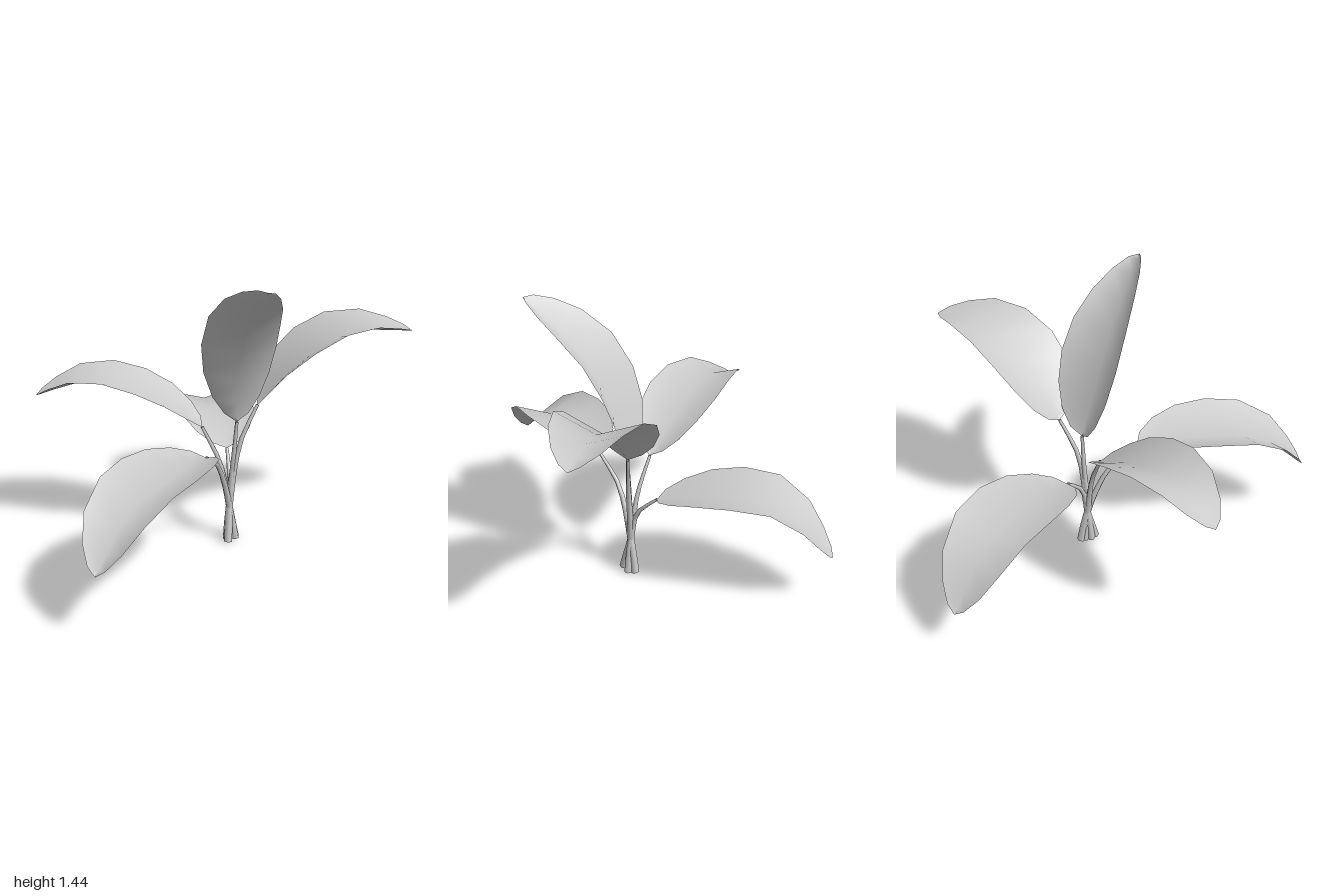
import * as THREE from 'three';

const material = new THREE.MeshStandardMaterial({ color: 0xcccccc, side: THREE.DoubleSide });
const curveThrough = points => new THREE.CatmullRomCurve3(points.map(p => new THREE.Vector3(...p)));

// Leaf blade folded into a shallow V along its midrib
function blade({ rib, width, fold, up = [0, 1, 0] }) {
  const curve = curveThrough(rib);
  const upHint = new THREE.Vector3(...up);
  const steps = 9, positions = [], index = [];
  for (let i = 0; i <= steps; i++) {
    // Stations crowd towards both ends, where the outline curves most
    const t = (1 - Math.cos(Math.PI * i / steps)) / 2;
    const half = width * Math.sin(Math.PI * t ** 0.85) ** 0.6;
    const mid = curve.getPointAt(t);
    const tangent = curve.getTangentAt(t);
    const side = tangent.clone().cross(upHint).normalize();
    const normal = side.clone().cross(tangent);
    for (const s of [-1, 0, 1]) {
      const p = mid.clone()
        .addScaledVector(side, s * half)
        .addScaledVector(normal, Math.abs(s) * half * fold);
      positions.push(p.x, p.y, p.z);
    }
    if (i === 0) continue;
    for (let c = 0; c < 2; c++) {
      const a = (i - 1) * 3 + c, b = i * 3 + c;
      index.push(a, a + 1, b, a + 1, b + 1, b);
    }
  }
  const geo = new THREE.BufferGeometry();
  geo.setAttribute('position', new THREE.Float32BufferAttribute(positions, 3));
  geo.setIndex(index);
  geo.computeVertexNormals();
  return geo;
}

// Stalk: six-sided tube, thick at the foot and thin at the blade
function stalk(points) {
  const curve = curveThrough(points), rings = 8, sides = 6;
  const geo = new THREE.TubeGeometry(curve, rings, 1, sides);
  const pos = geo.attributes.position, v = new THREE.Vector3();
  for (let i = 0; i < pos.count; i++) {
    const t = Math.floor(i / (sides + 1)) / rings;
    const center = curve.getPointAt(t);
    const radius = THREE.MathUtils.lerp(0.021, 0.008, t);
    v.fromBufferAttribute(pos, i).sub(center).multiplyScalar(radius).add(center);
    pos.setXYZ(i, v.x, v.y, v.z);
  }
  return geo;
}

// All stalks cross at one point just above the ground
const CROSSING = [0.05, 0.18, -0.045];

// foot and elbow shape the stalk; rib runs from blade base to tip
const LEAVES = [
  { name: 'frontLeaf', width: 0.21, fold: 0.43, foot: [0.06, 0, -0.08], elbow: [0.01, 0.44, 0.06],
    rib: [[-0.03, 0.55, 0.2], [-0.16, 0.56, 0.5], [-0.29, 0.52, 0.78], [-0.39, 0.33, 1]] },
  { name: 'backLeaf', width: 0.215, fold: 0.26, foot: [0.05, 0, 0], elbow: [0.045, 0.34, -0.08],
    rib: [[0.02, 0.44, -0.18], [-0.09, 0.51, -0.5], [-0.19, 0.49, -0.75], [-0.29, 0.25, -0.99]] },
  { name: 'rightLeaf', width: 0.19, fold: 0.37, foot: [0.08, 0, -0.05], elbow: [0, 0.42, -0.05],
    rib: [[-0.09, 0.6, -0.06], [-0.37, 0.75, -0.045], [-0.66, 0.82, -0.03], [-0.92, 0.74, -0.02]] },
  { name: 'leftLeaf', width: 0.215, fold: 0.37, foot: [0.04, 0, -0.03], elbow: [0.1, 0.52, -0.065],
    rib: [[0.18, 0.71, -0.12], [0.39, 0.93, -0.18], [0.63, 1.06, -0.26], [0.92, 1.05, -0.36]] },
  { name: 'uprightLeaf', width: 0.18, fold: 0.55, foot: [0.055, 0, -0.06], elbow: [0.07, 0.45, -0.05],
    up: [-0.2, 0.3, -1],
    rib: [[0.085, 0.64, -0.05], [0.1, 0.9, 0.04], [0.145, 1.15, 0.16], [0.27, 1.43, 0.41]] },
];

export function createModel() {
  const plant = new THREE.Group();
  plant.name = 'plant';
  for (const leaf of LEAVES) {
    const group = new THREE.Group();
    group.name = leaf.name;
    const stem = new THREE.Mesh(stalk([leaf.foot, CROSSING, leaf.elbow, leaf.rib[0]]), material);
    stem.name = 'stalk';
    const leafBlade = new THREE.Mesh(blade(leaf), material);
    leafBlade.name = 'blade';
    group.add(stem, leafBlade);
    plant.add(group);
  }
  return plant;
}
